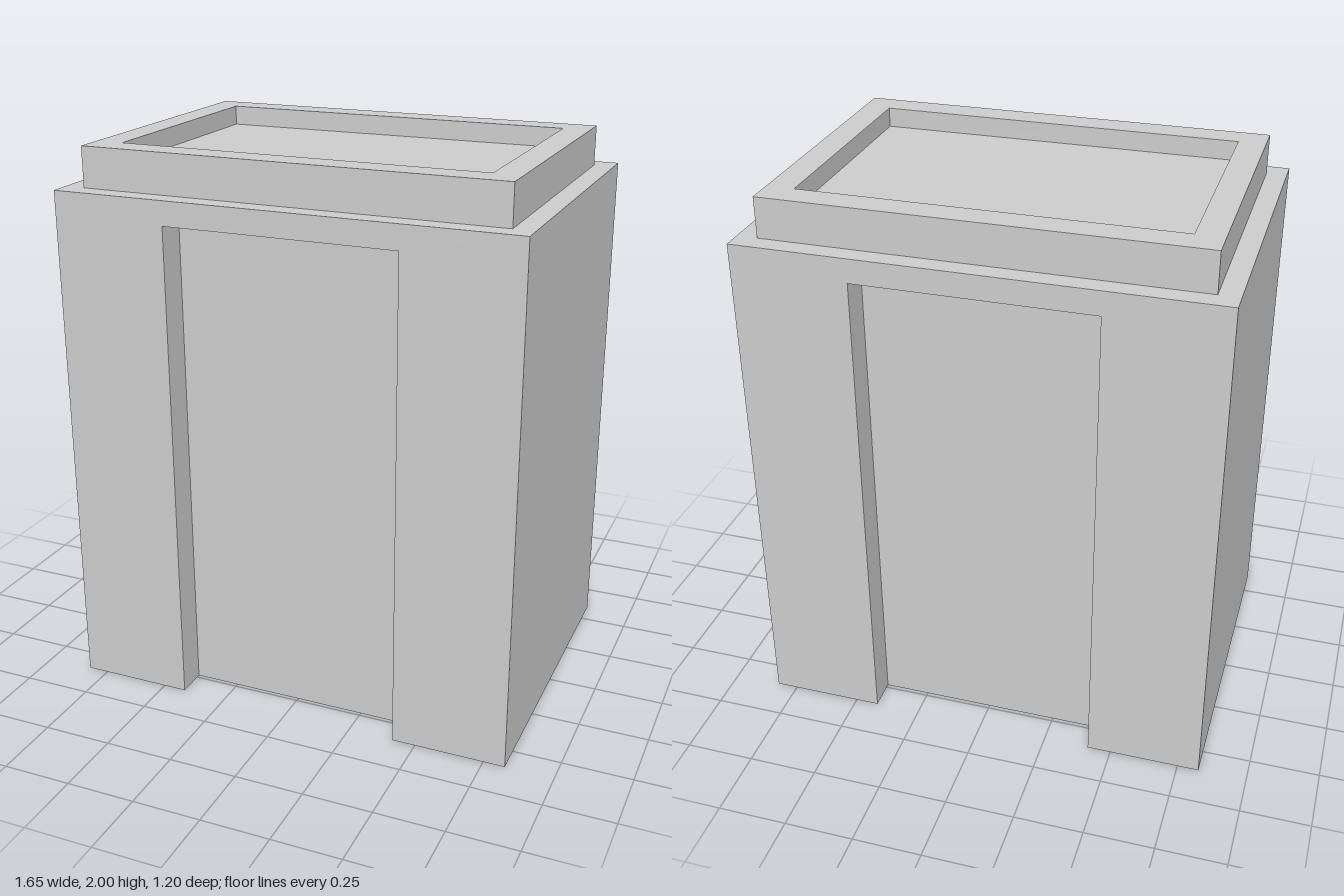
import * as THREE from 'three';

const material = new THREE.MeshStandardMaterial({ color: 0xcccccc, side: THREE.DoubleSide });

// Mesh of flat quads; each quad lists four corners counter-clockwise from outside.
function quadMesh(name, quads) {
  const points = quads.flatMap(([a, b, c, d]) => [a, b, c, a, c, d]).flat();
  const geometry = new THREE.BufferGeometry();
  geometry.setAttribute('position', new THREE.Float32BufferAttribute(points, 3));
  geometry.computeVertexNormals();
  const mesh = new THREE.Mesh(geometry, material);
  mesh.name = name;
  return mesh;
}

// Corners of a horizontal rectangle with half sizes x, z at height y.
const rect = (x, z, y) => [[-x, y, z], [x, y, z], [x, y, -z], [-x, y, -z]];

// Four quads joining one rectangle to the next.
const band = (a, b) => a.map((p, i) => [p, a[(i + 1) % 4], b[(i + 1) % 4], b[i]]);

export function createModel() {
  const model = new THREE.Group();
  const X = 0.827, Z = 0.598, H = 1.857;          // body
  const dx = 0.415, dh = 1.771, dz = Z - 0.112;   // door recess

  // Front and back walls, each with a recessed doorway reaching the floor
  for (const [side, turn] of [['front', 0], ['back', Math.PI]]) {
    const outline = new THREE.Shape([
      [-X, 0], [-dx, 0], [-dx, dh], [dx, dh], [dx, 0], [X, 0], [X, H], [-X, H],
    ].map(([x, y]) => new THREE.Vector2(x, y)));
    const wall = new THREE.Mesh(new THREE.ShapeGeometry(outline), material);
    wall.name = side + 'Wall';
    wall.position.z = Z;

    const recess = quadMesh(side + 'DoorRecess', [
      [[-dx, 0, dz], [dx, 0, dz], [dx, dh, dz], [-dx, dh, dz]],   // door panel
      [[-dx, 0, Z], [-dx, 0, dz], [-dx, dh, dz], [-dx, dh, Z]],   // jambs
      [[dx, 0, dz], [dx, 0, Z], [dx, dh, Z], [dx, dh, dz]],
      [[-dx, dh, dz], [dx, dh, dz], [dx, dh, Z], [-dx, dh, Z]],   // lintel
    ]);

    const group = new THREE.Group();
    group.name = side;
    group.add(wall, recess);
    group.rotation.y = turn;
    model.add(group);
  }

  // Plain side walls
  for (const s of [1, -1]) {
    const wall = new THREE.Mesh(new THREE.PlaneGeometry(2 * Z, H), material);
    wall.name = s > 0 ? 'leftWall' : 'rightWall';
    wall.position.set(s * X, H / 2, 0);
    wall.rotation.y = s * Math.PI / 2;
    model.add(wall);
  }

  // Stepped roof: ledge, parapet outside, rim, parapet inside, sunken deck
  const steps = [
    rect(X, Z, H), rect(0.754, 0.527, H), rect(0.754, 0.527, 2),
    rect(0.656, 0.426, 2), rect(0.656, 0.426, 1.93),
  ];
  ['roofLedge', 'parapetOuter', 'parapetRim', 'parapetInner'].forEach((name, i) =>
    model.add(quadMesh(name, band(steps[i], steps[i + 1]))));
  model.add(quadMesh('roofDeck', [steps[4]]));

  return model;
}
